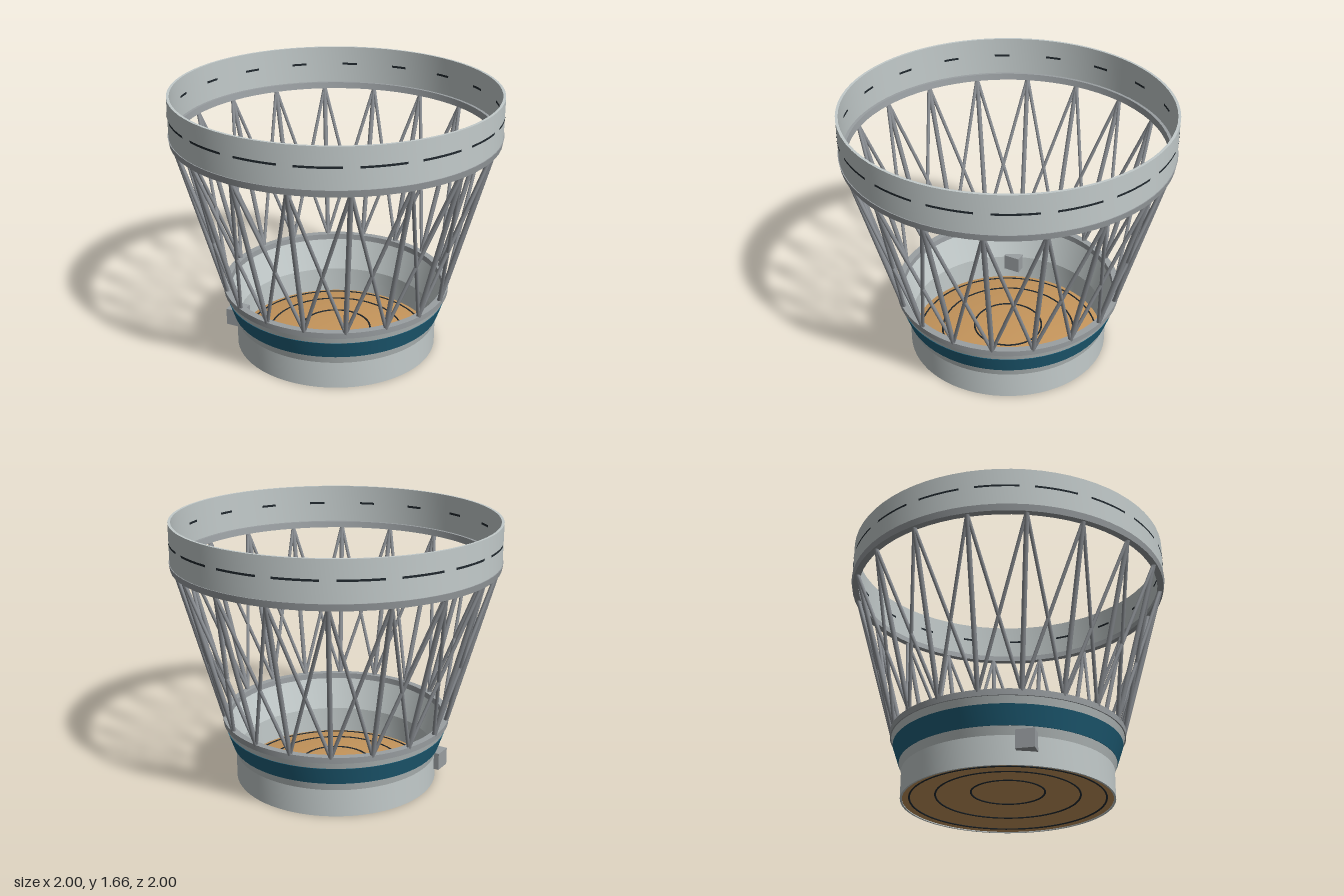
import * as THREE from 'three';
import { toCreasedNormals } from 'three/addons/utils/BufferGeometryUtils.js';

const mat = (name, color, side = THREE.FrontSide) => {
  const m = new THREE.MeshStandardMaterial({ color, side });
  m.name = name;
  return m;
};

export function createModel() {
  const lightGrey = mat('light grey', 0xc3cbcb);
  const midGrey = mat('mid grey', 0x9a9fa2);
  const strutGrey = mat('strut grey', 0x8b8f94);
  const blue = mat('blue', 0x20627c);
  const tan = mat('tan', 0xc6965c, THREE.DoubleSide);
  const black = mat('black', 0x20282e, THREE.DoubleSide);

  const model = new THREE.Group();
  const add = (name, geometry, material, parent = model) => {
    const mesh = new THREE.Mesh(geometry, material);
    mesh.name = name;
    parent.add(mesh);
    return mesh;
  };
  const group = (name) => {
    const g = new THREE.Group();
    g.name = name;
    model.add(g);
    return g;
  };
  // Revolved profile of [radius, height] points
  const lathe = (pts, start = 0, length = Math.PI * 2, segments = 72) =>
    toCreasedNormals(new THREE.LatheGeometry(
      pts.map(([r, y]) => new THREE.Vector2(r, y)), segments, start, length), 0.2);
  // Hollow ring: outer wall up, inner wall down
  const ring = (r0, y0, r1, y1, t) =>
    lathe([[r0 - t, y0], [r0, y0], [r1, y1], [r1 - t, y1], [r0 - t, y0]]);

  // Lower adapter: cylinder, flared collar with painted band, top flange
  add('baseCylinder', ring(0.635, 0, 0.635, 0.172, 0.012), lightGrey);
  add('flaredCollar', ring(0.635, 0.172, 0.703, 0.38, 0.012), lightGrey);
  add('blueBand', ring(0.654, 0.222, 0.692, 0.335, 0.004), blue);
  add('lowerFlange', ring(0.71, 0.378, 0.712, 0.415, 0.042), midGrey);

  // Shallow domed floor with circular seams
  const domeY = (r) => 0.065 * (1 - (r / 0.63) ** 2) + 0.004;
  const dome = [];
  for (let i = 0; i <= 10; i++) dome.push([0.063 * (10 - i), domeY(0.063 * (10 - i))]);
  add('domedFloor', lathe(dome), tan);
  const seams = group('floorSeams');
  for (const r of [0.22, 0.43, 0.582]) {
    const seam = add('floorSeam', new THREE.TorusGeometry(r, 0.006, 6, 72), black, seams);
    seam.rotation.x = Math.PI / 2;
    seam.position.y = domeY(r);
  }

  // Small equipment box let into the base wall
  add('sideBox', new THREE.BoxGeometry(0.11, 0.11, 0.11), midGrey).position.set(-0.583, 0.137, 0.25);

  // Upper ring with lower flange
  add('upperRing', ring(0.995, 1.415, 0.995, 1.66, 0.016), lightGrey);
  add('upperFlange', ring(0.993, 1.38, 1, 1.42, 0.04), midGrey);

  // Broken seam line around the upper ring, outside and inside
  const marks = group('ringSeams');
  const step = Math.PI / 9;
  for (let i = 0; i < 18; i++) {
    const a = i * step;
    add('outerSeam', lathe([[0.997, 1.539], [0.997, 1.552]], a - 0.13, 0.26, 6), black, marks);
    add('innerSeam', lathe([[0.977, 1.538], [0.977, 1.552]], a - 0.05, 0.1, 3), black, marks);
  }

  // Truss: one straight and two crossing struts per bay
  const truss = group('truss');
  const up = new THREE.Vector3(0, 1, 0);
  const node = (r, y, a) => new THREE.Vector3(r * Math.sin(a), y, r * Math.cos(a));
  const strut = (name, from, to, radius) => {
    const dir = to.clone().sub(from);
    const mesh = add(name, new THREE.CylinderGeometry(radius, radius, dir.length(), 10), strutGrey, truss);
    mesh.position.copy(from).addScaledVector(dir, 0.5);
    mesh.quaternion.setFromUnitVectors(up, dir.normalize());
  };
  for (let i = 0; i < 18; i++) {
    const a = (i + 0.5) * step;
    const foot = node(0.697, 0.405, a);
    strut('straightStrut', foot, node(0.972, 1.39, a), 0.015);
    for (const s of [-1, 1]) {
      strut('diagonalStrut', foot, node(0.972, 1.39, a + s * step), 0.011);
    }
  }
  return model;
}
